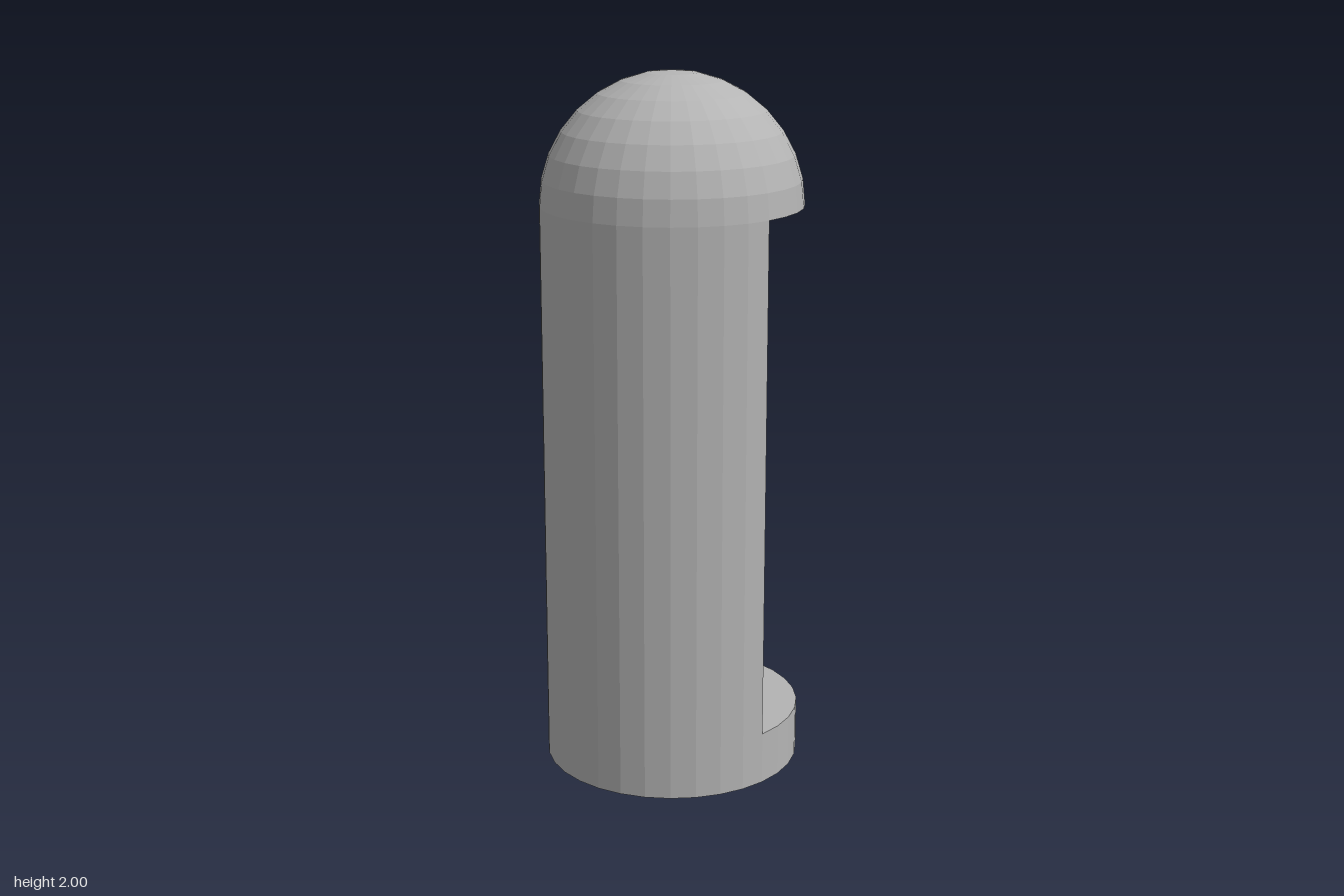
import * as THREE from 'three';

const RADIUS = 0.37, INNER = 0.3, SIDES = 32;
const BASE_TOP = 0.15, DOME_BOTTOM = 1.63;

export function createModel() {
  const model = new THREE.Group();
  model.name = 'openCapsule';
  const grey = new THREE.MeshStandardMaterial({ color: 0xb4b4b4, flatShading: true });
  grey.name = 'grey';

  const add = (name, geometry) => {
    const mesh = new THREE.Mesh(geometry, grey);
    mesh.name = name;
    model.add(mesh);
    return mesh;
  };

  // Round base plate
  add('base', new THREE.CylinderGeometry(RADIUS, RADIUS, BASE_TOP, SIDES))
    .position.y = BASE_TOP / 2;

  // Curved wall with radial ends, open towards +x
  const step = (Math.PI * 2) / SIDES;
  const first = 6, last = SIDES - 6;
  const at = (r, i) => new THREE.Vector2(r * Math.cos(i * step), r * Math.sin(i * step));
  const outline = [];
  for (let i = first; i <= last; i++) outline.push(at(RADIUS, i));
  for (let i = last; i >= first; i--) outline.push(at(INNER, i));
  const wall = new THREE.ExtrudeGeometry(new THREE.Shape(outline), {
    depth: DOME_BOTTOM - BASE_TOP, bevelEnabled: false,
  });
  wall.rotateX(-Math.PI / 2);
  add('wall', wall).position.y = BASE_TOP;

  // Hemispherical dome with a flat underside
  const profile = [new THREE.Vector2(0, 0)];
  for (let i = 0; i <= 8; i++) {
    const a = (i / 8) * Math.PI / 2;
    profile.push(new THREE.Vector2(i === 8 ? 0 : RADIUS * Math.cos(a), RADIUS * Math.sin(a)));
  }
  add('dome', new THREE.LatheGeometry(profile, SIDES)).position.y = DOME_BOTTOM;

  return model;
}
